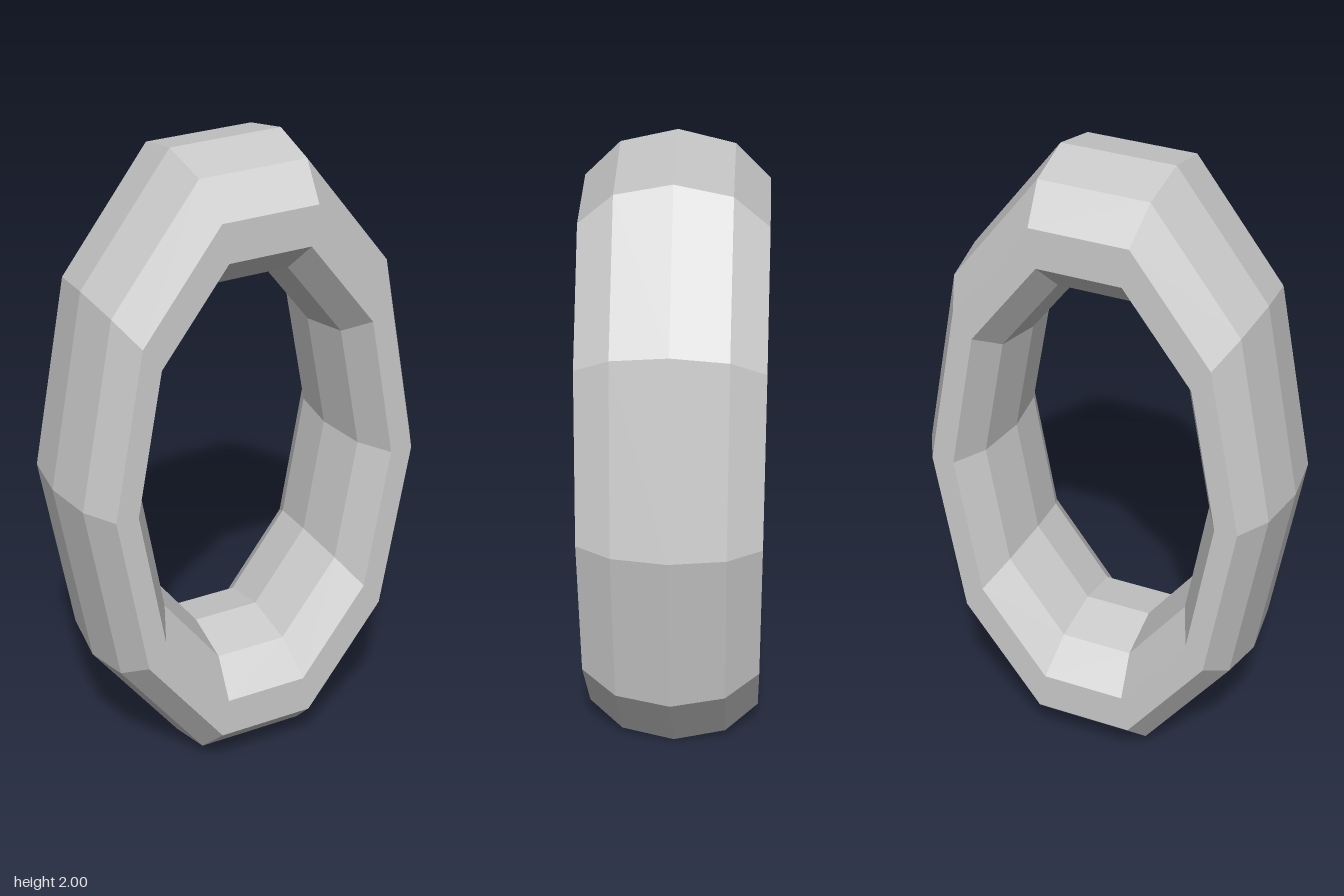
import * as THREE from 'three';

export function createModel() {
  const group = new THREE.Group();
  const material = new THREE.MeshStandardMaterial({ color: 0xcccccc, flatShading: true });

  // Ten-sided low-poly ring, narrowed to an oval and deepened along z
  const geometry = new THREE.TorusGeometry(0.841, 0.2105, 10, 10);
  geometry.scale(0.5516, 1, 1.35);

  const link = new THREE.Mesh(geometry, material);
  link.name = 'chainLink';
  link.position.y = 1;
  group.add(link);
  return group;
}
